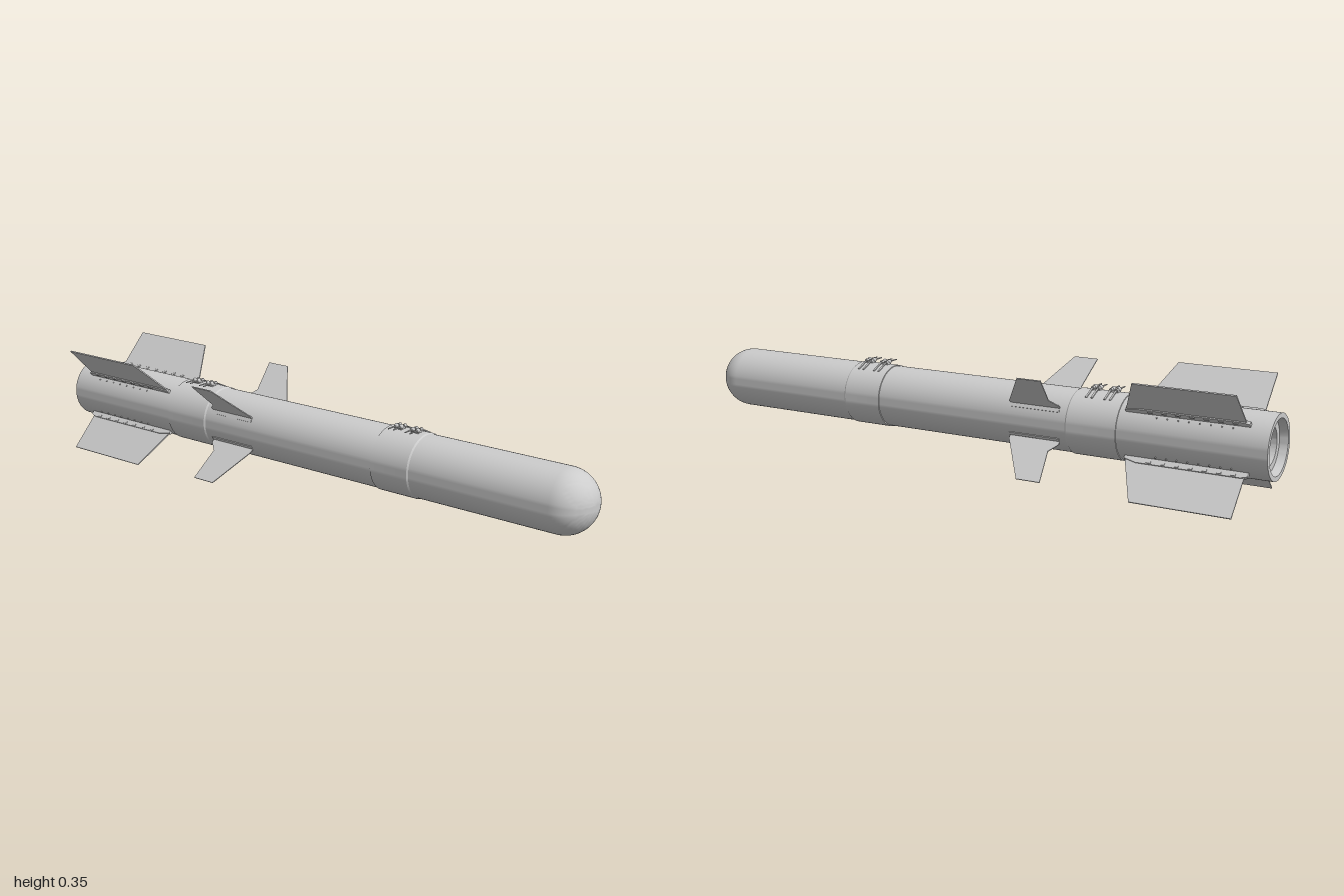
import * as THREE from 'three';
import { toCreasedNormals } from 'three/addons/utils/BufferGeometryUtils.js';

const R = 0.099;
const grey = new THREE.MeshStandardMaterial({ color: 0xcccccc });
grey.name = 'light grey';

function add(parent, name, geometry, x = 0, y = 0, z = 0) {
  const m = new THREE.Mesh(geometry, grey);
  m.name = name;
  m.position.set(x, y, z);
  parent.add(m);
  return m;
}

// Surface of revolution about z, from [radius, z] points running back to front
function turned(points) {
  const g = new THREE.LatheGeometry(points.map(([r, z]) => new THREE.Vector2(r, z)), 64);
  return toCreasedNormals(g.rotateX(Math.PI / 2), 0.5);
}

// Flat plate lying in the radial plane, outlined by [radius, z] points
function plate(points, thickness) {
  const shape = new THREE.Shape(points.map(([r, z]) => new THREE.Vector2(r, z)));
  return new THREE.ExtrudeGeometry(shape, { depth: thickness, bevelEnabled: false })
    .translate(0, 0, -thickness / 2).rotateX(Math.PI / 2);
}

// Group turned about the body axis so that its +x points outwards
function spoke(parent, name, angle, x = 0, y = 0) {
  const g = new THREE.Group();
  g.name = name;
  g.position.set(x, y, 0);
  g.rotation.z = angle;
  parent.add(g);
  return g;
}

// Paired pins and knobs of one suspension lug
function addLug(parent, z) {
  const lug = new THREE.Group();
  lug.name = 'suspensionLug';
  lug.position.z = z;
  parent.add(lug);
  add(lug, 'lugFoot', new THREE.BoxGeometry(0.02, 0.014, 0.026), -0.004, 0.101, 0);
  for (const dz of [-0.009, 0.009]) {
    add(lug, 'lugPin', new THREE.CylinderGeometry(0.002, 0.003, 0.058, 8).rotateZ(Math.PI / 2), -0.023, 0.11, dz);
    add(lug, 'lugKnob', new THREE.SphereGeometry(0.0075, 12, 8), -0.01, 0.11, dz);
    add(lug, 'lugNut', new THREE.CylinderGeometry(0.005, 0.005, 0.012, 6).rotateZ(Math.PI / 2), 0.006, 0.11, dz);
    const brace = add(lug, 'lugBrace', new THREE.BoxGeometry(0.05, 0.003, 0.006), 0.032, 0.099, dz);
    brace.rotation.z = -0.43;
  }
}

export function createModel() {
  const model = new THREE.Group();
  model.name = 'guidedMissile';
  const body = new THREE.Group();
  body.name = 'body';
  body.position.y = 0.175;
  model.add(body);

  // Fuselage with recessed nozzle and round nose
  const profile = [[0, -0.9], [0.056, -0.9], [0.058, -0.975], [0.08, -0.975], [0.084, -1], [R, -1]];
  for (let i = 0; i <= 16; i++) {
    const a = (i / 16) * Math.PI / 2;
    profile.push([i === 16 ? 0 : R * Math.cos(a), 0.9 + 0.1 * Math.sin(a)]);
  }
  add(body, 'fuselage', turned(profile));

  // Reinforcing bands with their lugs
  for (const [back, front, lugs] of [[0.3, 0.44, [0.34, 0.4]], [-0.54, -0.37, [-0.49, -0.43]]]) {
    add(body, 'band', turned([[R - 0.002, back], [0.102, back], [0.102, front - 0.008], [R - 0.002, front]]));
    for (const z of lugs) addLug(body, z);
  }

  // Tail fins, root rails and rivets
  const finShape = plate([[0.09, -0.93], [0.2475, -0.93], [0.2475, -0.62], [0.115, -0.565], [0.09, -0.565]], 0.004);
  const railShape = plate([[0.09, -0.94], [0.112, -0.94], [0.118, -0.92], [0.118, -0.6], [0.108, -0.56], [0.09, -0.56]], 0.011);
  const rivet = new THREE.CylinderGeometry(0.002, 0.0025, 0.005, 6).rotateZ(-Math.PI / 2);
  const clip = new THREE.BoxGeometry(0.007, 0.016, 0.014);
  for (let i = 0; i < 4; i++) {
    const angle = Math.PI / 4 + i * Math.PI / 2;
    const fin = spoke(body, 'tailFin', angle);
    add(fin, 'tailFinPlate', finShape);
    add(fin, 'tailFinRail', railShape);
    for (let k = 0; k < 7; k++) add(fin, 'rootClip', clip, 0.112, 0, -0.64 - k * 0.043);
    for (const side of [-1, 1]) {
      const row = spoke(body, 'rivetRow', angle + side * 0.15);
      for (let k = 0; k < 8; k++) add(row, 'rivet', rivet, R + 0.001, 0, -0.66 - k * 0.033);
    }
  }

  // Middle fins, set slightly off the radial line
  const wingShape = plate([[-0.006, -0.35], [0.008, -0.35], [0.035, -0.325], [0.146, -0.34], [0.146, -0.26], [0.008, -0.18], [-0.006, -0.18]], 0.003);
  const strip = new THREE.BoxGeometry(0.005, 0.01, 0.17);
  for (const sx of [1, -1]) {
    for (const sy of [1, -1]) {
      const tilt = Math.atan2(sy * Math.sin(0.75), sx * Math.cos(0.75));
      const wing = spoke(body, 'middleFin', tilt, sx * 0.086, sy * 0.055);
      add(wing, 'middleFinPlate', wingShape);
      const root = spoke(body, 'middleFinRoot', Math.atan2(sy * 0.45, sx * 0.89));
      add(root, 'rootStrip', strip, R, 0, -0.265);
    }
  }
  return model;
}
